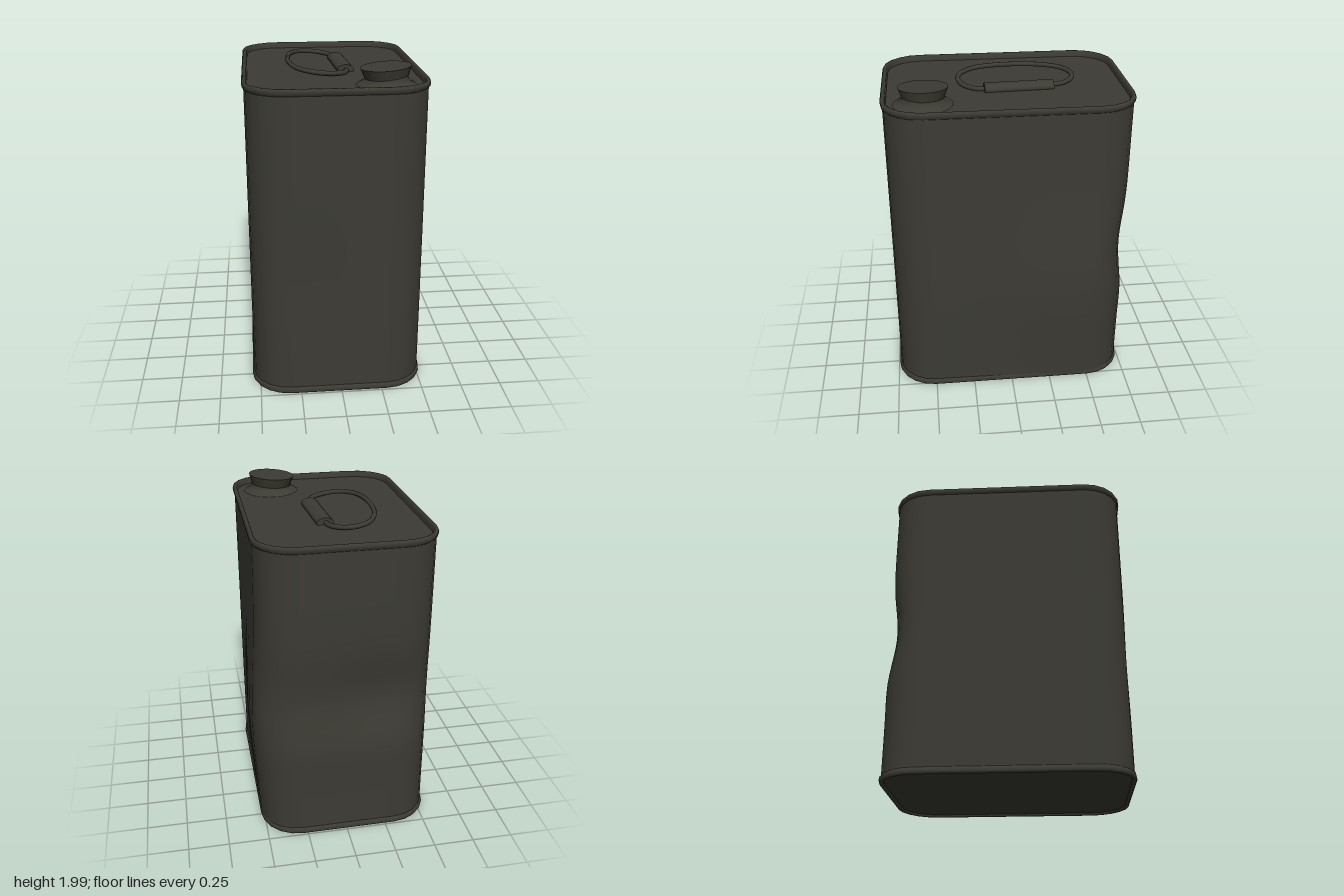
import * as THREE from 'three';

const CX = -0.015; // the can sits slightly off centre because one side bulges
const paint = new THREE.MeshStandardMaterial({ color: 0x3c3b34 });
paint.name = 'dark olive paint';

// Rounded rectangle outline with outward normals; extra points along the straights
function outline(hx, hz, r, cornerSegs = 5, sideSegs = 8) {
  const pts = [];
  const centres = [[hx - r, hz - r], [r - hx, hz - r], [r - hx, r - hz], [hx - r, r - hz]];
  centres.forEach(([cx, cz], k) => {
    const arc = (c, a) => ({ x: CX + c[0] + r * Math.cos(a), z: c[1] + r * Math.sin(a), nx: Math.cos(a), nz: Math.sin(a) });
    for (let i = 0; i <= cornerSegs; i++) pts.push(arc([cx, cz], (k + i / cornerSegs) * Math.PI / 2));
    const end = pts[pts.length - 1];
    const next = arc(centres[(k + 1) % 4], (k + 1) * Math.PI / 2);
    for (let i = 1; i < sideSegs; i++) {
      const t = i / sideSegs;
      pts.push({ ...end, x: end.x + (next.x - end.x) * t, z: end.z + (next.z - end.z) * t });
    }
  });
  return pts;
}

// Sweep a profile of [height, outward offset] rows around the outline
function loft(loop, rows, warp = (x, y, z) => [x, y, z]) {
  const n = loop.length, pos = [], index = [];
  for (const [y, o] of rows)
    for (const p of loop) pos.push(...warp(p.x + p.nx * o, y, p.z + p.nz * o, p));
  for (let r = 0; r < rows.length - 1; r++)
    for (let i = 0; i < n; i++) {
      const a = r * n + i, b = r * n + (i + 1) % n;
      index.push(a, a + n, b, a + n, b + n, b);
    }
  const g = new THREE.BufferGeometry();
  g.setAttribute('position', new THREE.Float32BufferAttribute(pos, 3));
  g.setIndex(index);
  g.computeVertexNormals();
  return g;
}

const bell = (v, centre, width) => Math.exp(-(((v - centre) / width) ** 2));

// Knocks and dents in the sheet metal
function dent(x, y, z, p) {
  const side = Math.max(0, p.nx), back = Math.max(0, -p.nz), front = Math.max(0, p.nz);
  x += side * 0.045 * bell(y, 0.7, 0.55) * bell(z, -0.35, 0.45);
  z += back * bell(y, 0.95, 0.24) * (0.03 + 0.025 * bell(x, -0.2, 0.22));
  z -= back * 0.006 * bell(y, 0.6, 0.15);
  z -= front * 0.012 * bell(y, 0.75, 0.25) * bell(x, -0.2, 0.12);
  return [x, y, z];
}

export function createModel() {
  const group = new THREE.Group();
  const add = (name, geometry, parent = group) => {
    const m = new THREE.Mesh(geometry, paint);
    m.name = name;
    parent.add(m);
    return m;
  };
  const loop = outline(0.525, 0.733, 0.23);

  // Walls
  const rows = Array.from({ length: 33 }, (_, i) => [0.03 + (1.87 * i) / 32, 0]);
  add('walls', loft(loop, rows, dent));

  // Rolled seams at top and bottom
  const seam = [[1.878, -0.003], [1.888, 0.009], [1.908, 0.012], [1.92, 0.006], [1.922, -0.004], [1.914, -0.016], [1.878, -0.02]];
  add('topSeam', loft(loop, seam));
  add('bottomSeam', loft(loop, seam.map(([y, o]) => [1.932 - y, o]).reverse()));

  // Recessed lid and base
  const shape = new THREE.Shape(loop.map(p => new THREE.Vector2(p.x, p.z)));
  const lid = add('lid', new THREE.ShapeGeometry(shape));
  lid.rotation.x = -Math.PI / 2;
  lid.position.y = 1.885;
  const base = add('base', new THREE.ShapeGeometry(shape));
  base.rotation.x = Math.PI / 2;
  base.position.y = 0.025;

  // Wire carrying handle lying on the lid, its free side slightly raised
  const handle = new THREE.Group();
  handle.name = 'handle';
  group.add(handle);
  const ring = [[0.05, -0.29], [0.03, -0.36], [-0.03, -0.415], [-0.1, -0.43], [-0.18, -0.39], [-0.24, -0.28], [-0.265, -0.12],
    [-0.262, 0.03], [-0.23, 0.17], [-0.16, 0.255], [-0.07, 0.28], [0.03, 0.24], [0.08, 0.16], [0.075, 0.1], [0.06, -0.08]];
  const path = new THREE.CatmullRomCurve3(
    ring.map(([x, z]) => new THREE.Vector3(x, 1.929 - (x + 0.27) * 0.1, z)), true);
  add('handleWire', new THREE.TubeGeometry(path, 60, 0.015, 8, true), handle);
  const grip = new THREE.CylinderGeometry(0.052, 0.052, 0.42, 16);
  grip.rotateX(Math.PI / 2);
  grip.scale(1, 0.62, 1);
  const gripMesh = add('handleGrip', grip, handle);
  gripMesh.position.set(0.066, 1.895, -0.08);
  gripMesh.rotation.y = 0.055;

  // Flared spout collar and tilted screw cap
  const collar = add('spoutCollar', new THREE.LatheGeometry(
    [[0.178, -0.002], [0.165, 0.008], [0.14, 0.02], [0.122, 0.04], [0.12, 0.07]].map(p => new THREE.Vector2(...p)), 24));
  collar.position.set(0.272, 1.885, 0.5);
  const cap = add('cap', new THREE.CylinderGeometry(0.146, 0.125, 0.06, 24));
  cap.position.set(0.267, 1.958, 0.495);
  cap.rotation.z = 0.075;

  return group;
}
